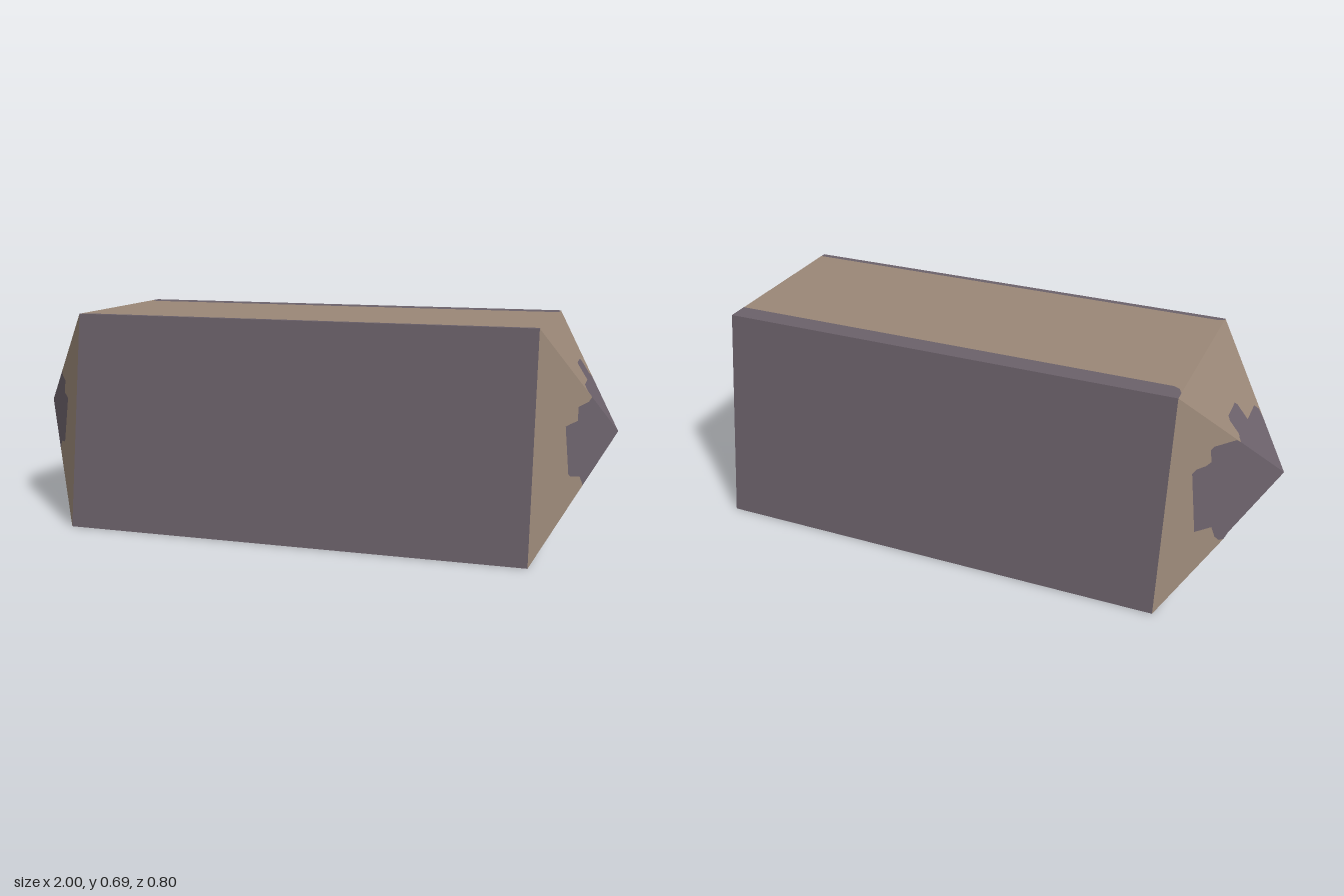
import * as THREE from 'three';

const H = 0.695, MID = 0.348, X0 = -0.715, X1 = 0.78;

export function createModel() {
  const model = new THREE.Group();
  const tan = new THREE.MeshStandardMaterial({ name: 'tan', color: 0x9a8777 });
  const grey = new THREE.MeshStandardMaterial({ name: 'purpleGrey', color: 0x6b616a });

  // A flat outline placed in space by a rule, wound to face away from the centre
  function panel(parent, name, material, outline, place) {
    const shape = new THREE.Shape(outline.map(([a, b]) => new THREE.Vector2(a, b)));
    let geo = new THREE.ShapeGeometry(shape);
    geo.deleteAttribute('normal');
    const pos = geo.attributes.position;
    for (let i = 0; i < pos.count; i++) pos.setXYZ(i, ...place(pos.getX(i), pos.getY(i)));
    const idx = geo.index.array;
    const [a, b, c] = [0, 1, 2].map((k) => new THREE.Vector3().fromBufferAttribute(pos, idx[k]));
    const normal = b.clone().sub(a).cross(c.clone().sub(a));
    if (normal.dot(a.clone().sub(new THREE.Vector3(0, MID, 0))) < 0) {
      for (let i = 0; i < idx.length; i += 3) [idx[i + 1], idx[i + 2]] = [idx[i + 2], idx[i + 1]];
    }
    geo = geo.toNonIndexed();
    geo.computeVertexNormals();
    const mesh = new THREE.Mesh(geo, material);
    mesh.name = name;
    parent.add(mesh);
  }

  // Long sloping sides
  const rect = [[X0, 0], [X1, 0], [X1, H], [X0, H]];
  for (const s of [1, -1]) {
    panel(model, s > 0 ? 'frontSide' : 'backSide', grey, rect,
      (x, y) => [x, y, s * (0.4 - 0.1 * y / H)]);
  }

  // Top and bottom: tan middle with a grey strip along each long edge
  for (const [name, y, half, back, front] of [['top', H, 0.3, -0.23, 0.28], ['bottom', 0, 0.4, -0.26, 0.29]]) {
    const place = (x, z) => [x, y, z];
    const backLine = [[X0, back - 0.035], [X0 + 0.012, back - 0.01], [X0 + 0.03, back], [X1, back]];
    const frontLine = [[X1, front], [X0 + 0.015, front], [X0, front + 0.01]];
    panel(model, name + 'Middle', tan, [...backLine, ...frontLine], place);
    panel(model, name + 'BackStrip', grey, [...backLine, [X1, -half], [X0, -half]], place);
    panel(model, name + 'FrontStrip', grey, [...frontLine, [X0, half], [X1, half]], place);
  }

  // Pyramid ends: each face has two base corners and the (z, y) border of its patch
  const TF = [0.3, H], TB = [-0.3, H], BB = [-0.4, 0], BF = [0.4, 0];
  const along = ([z, y], t) => [z * t, MID + (y - MID) * t];
  const eTF = along(TF, 0.35), eTB = along(TB, 0.43), eBB = along(BB, 0.43), eBF = along(BF, 0.41);
  const faces = [
    ['upper', TF, TB, [eTF, [0.115, 0.49], [0.1, 0.507], [0.002, 0.507], [0.002, 0.552], [-0.007, 0.56],
      [-0.095, 0.56], [-0.107, 0.55], [-0.107, 0.512], [-0.12, 0.505], eTB]],
    ['back', TB, BB, [eTB, [-0.14, 0.508], [-0.205, 0.508], [-0.215, 0.5], [-0.215, 0.46], [-0.23, 0.452],
      [-0.258, 0.45], [-0.27, 0.44], [-0.27, 0.24], [-0.22, 0.237], [-0.212, 0.2], [-0.2, 0.183],
      [-0.185, 0.181], eBB]],
    ['lower', BB, BF, [eBB, [-0.163, 0.175], [-0.163, 0.14], [-0.15, 0.13], [0.105, 0.13],
      [0.112, 0.14], [0.112, 0.178], [0.15, 0.185], [0.16, 0.2], eBF]],
    ['front', BF, TF, [eBF, [0.168, 0.218], [0.175, 0.235], [0.212, 0.241], [0.22, 0.25], [0.22, 0.395],
      [0.2, 0.4], [0.17, 0.405], [0.163, 0.447], [0.12, 0.457], eTF]],
  ];
  for (const s of [1, -1]) {
    const end = new THREE.Group();
    end.name = s > 0 ? 'leftEnd' : 'rightEnd';
    const base = s > 0 ? X1 : X0;
    for (const [name, c1, c2, border] of faces) {
      // Share of the way from the apex to the base edge of this face
      const nz = c2[1] - c1[1], ny = c1[0] - c2[0];
      const reach = c1[0] * nz + (c1[1] - MID) * ny;
      const place = (z, y) => [s + (base - s) * (z * nz + (y - MID) * ny) / reach, y, z];
      panel(end, name + 'Patch', grey, [[0, MID], ...border], place);
      panel(end, name + 'Face', tan, [c2, c1, ...border], place);
    }
    model.add(end);
  }
  return model;
}
